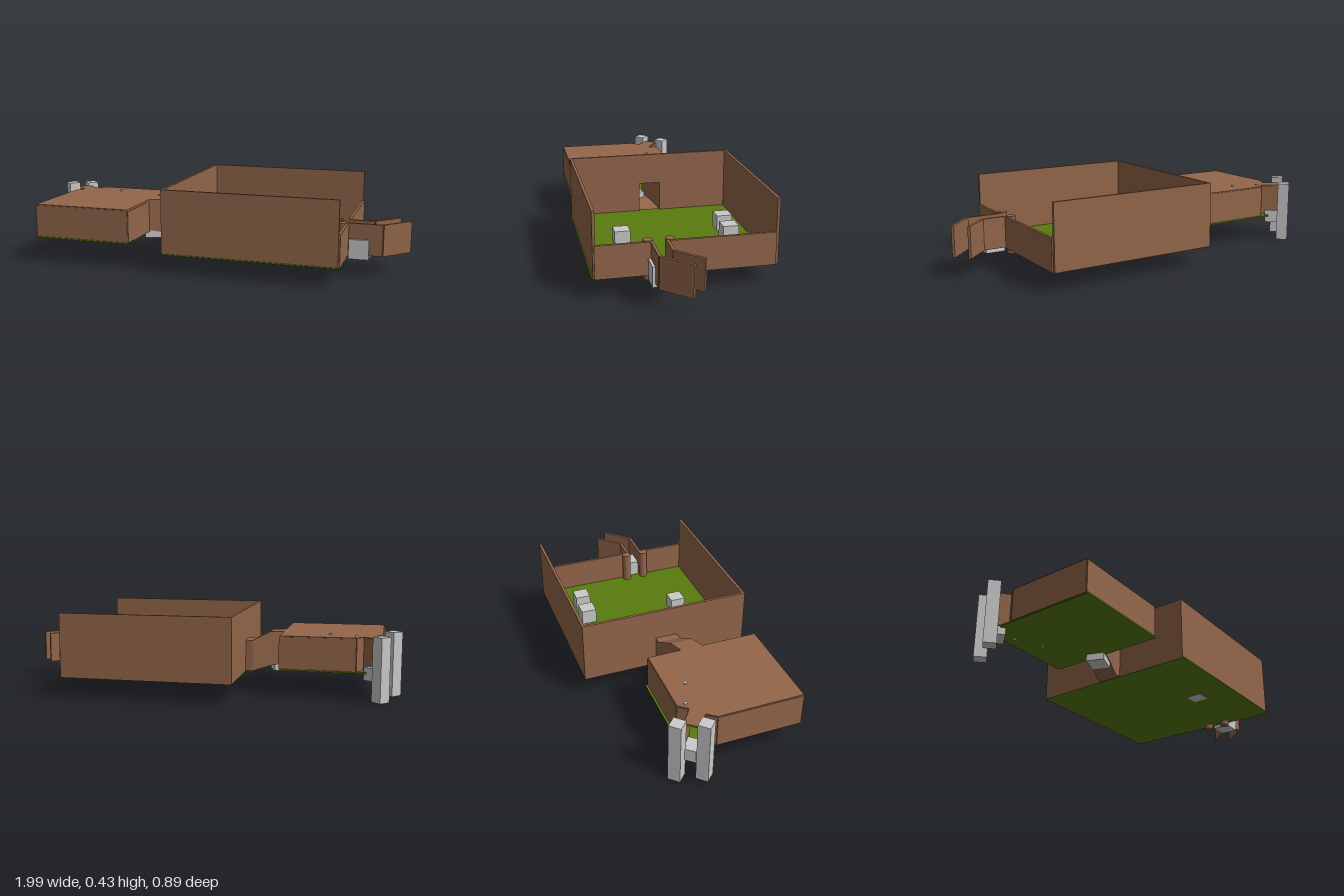
import * as THREE from 'three';

export function createModel() {
  const model = new THREE.Group();
  const mat = (name, color) => {
    const m = new THREE.MeshStandardMaterial({ color, side: THREE.DoubleSide });
    m.name = name;
    return m;
  };
  const brown = mat('brown wall', 0x93664a);
  const green = mat('green floor', 0x587b0d);
  const grey = mat('grey stone', 0xcacaca);

  const add = (name, geometry, material, parent = model) => {
    const mesh = new THREE.Mesh(geometry, material);
    mesh.name = name;
    parent.add(mesh);
    return mesh;
  };

  // Box standing from y0 to y1, centred on x, z and turned about y
  const block = (name, x, z, w, d, y0, y1, material, turn = 0) => {
    const mesh = add(name, new THREE.BoxGeometry(w, y1 - y0, d), material);
    mesh.position.set(x, (y0 + y1) / 2, z);
    mesh.rotation.y = turn;
    return mesh;
  };

  // Upright wall between two [x, z] points
  const wall = (name, [x0, z0], [x1, z1], y0, y1, t = 0.014) =>
    block(name, (x0 + x1) / 2, (z0 + z1) / 2, Math.hypot(x1 - x0, z1 - z0), t,
      y0, y1, brown, Math.atan2(z0 - z1, x1 - x0));

  // Flat slab with an [x, z] outline
  const slab = (name, points, y0, y1, material) => {
    const shape = new THREE.Shape(points.map(([x, z]) => new THREE.Vector2(x, -z)));
    const g = new THREE.ExtrudeGeometry(shape, { depth: y1 - y0, bevelEnabled: false });
    g.rotateX(-Math.PI / 2).translate(0, y0, 0);
    return add(name, g, material);
  };

  // Open main room
  slab('mainFloor', [[-0.195, -0.44], [0.69, -0.44], [0.69, 0.443], [-0.195, 0.443]], 0.1, 0.106, green);
  wall('frontWall', [-0.195, 0.43], [0.69, 0.43], 0.103, 0.43);
  wall('backWall', [-0.195, -0.441], [0.69, -0.441], 0.1, 0.43);
  wall('rightWallBack', [-0.188, -0.441], [-0.188, -0.06], 0.1, 0.43);
  wall('rightWallFront', [-0.188, 0.055], [-0.188, 0.43], 0.103, 0.43);
  wall('rightWallLintel', [-0.188, -0.06], [-0.188, 0.055], 0.265, 0.43);
  wall('lowWallBack', [0.69, -0.435], [0.69, 0.09], 0.1, 0.265);
  wall('lowWallFront', [0.69, 0.16], [0.69, 0.43], 0.1, 0.265);

  // Loose blocks in the room
  for (const [x, z, y] of [[0.27, -0.295, 0.142], [0.42, -0.285, 0.14], [0.27, 0.235, 0.097]])
    block('cube', x, z, 0.08, 0.08, y, y + 0.08, grey);

  // Entrance passage with round door posts and a step
  for (const path of [
    [[0.66, 0.088], [0.815, 0.088], [0.93, -0.027]],
    [[0.66, 0.163], [0.865, 0.163], [0.988, 0.037]],
  ]) {
    wall('passageWall', path[0], path[1], 0.105, 0.265);
    wall('passageWing', path[1], path[2], 0.105, 0.265);
  }
  for (const z of [0.073, 0.178]) {
    const post = add('doorPost', new THREE.CylinderGeometry(0.024, 0.024, 0.193, 16), brown);
    post.position.set(0.668, 0.1715, z);
  }
  block('entranceStep', 0.75, 0.135, 0.1, 0.095, 0.085, 0.185, grey);

  // Connecting corridor: sections of [x, back z, front z, bottom, top]
  const sections = [
    [-0.39, 0, 0.115, 0.14, 0.31],
    [-0.32, -0.027, 0.088, 0.128, 0.31],
    [-0.232, -0.06, 0.055, 0.102, 0.265],
    [-0.19, -0.06, 0.055, 0.102, 0.265],
  ];
  const pos = [];
  const corners = ([x, b, f, lo, hi]) => [[x, lo, f], [x, hi, f], [x, hi, b], [x, lo, b]];
  for (let i = 0; i < sections.length - 1; i++) {
    const a = corners(sections[i]), c = corners(sections[i + 1]);
    for (let j = 0; j < 4; j++) {
      const k = (j + 1) % 4;
      pos.push(...a[j], ...c[j], ...c[k], ...a[j], ...c[k], ...a[k]);
    }
  }
  const tube = new THREE.BufferGeometry();
  tube.setAttribute('position', new THREE.Float32BufferAttribute(pos, 3));
  tube.computeVertexNormals();
  add('corridor', tube, brown);
  block('corridorStep', -0.378, 0.058, 0.11, 0.09, 0.098, 0.165, grey, 0.37);

  // Roofed side room with a cut corner
  slab('sideFloor', [[-0.905, 0.415], [-0.39, 0.415], [-0.39, -0.19], [-0.82, -0.19], [-0.905, -0.1]],
    0.133, 0.14, green);
  const outline = [
    [-0.895, -0.19], [-0.81, -0.13], [-0.775, -0.175], [-0.39, -0.175], [-0.39, 0.405],
    [-0.905, 0.405], [-0.905, -0.03], [-0.87, -0.075], [-0.94, -0.135],
  ];
  slab('sideRoof', outline, 0.3, 0.31, brown);
  for (let i = 0; i < outline.length - 1; i++) {
    if (i === 3) {
      // Side wall left open where the corridor joins
      wall('sideWall', outline[3], [-0.394, 0], 0.138, 0.3, 0.008);
      wall('sideWall', [-0.394, 0.115], outline[4], 0.138, 0.3, 0.008);
    } else wall('sideWall', outline[i], outline[i + 1], 0.138, 0.305, 0.008);
  }

  // Corner doorway: two tall pillars and a step
  block('pillar', -0.956, -0.108, 0.062, 0.062, 0.015, 0.34, grey, 0.8);
  block('pillar', -0.9, -0.224, 0.062, 0.062, 0, 0.326, grey, 0.8);
  block('cornerStep', -0.878, -0.158, 0.085, 0.1, 0.098, 0.165, grey, -0.7);

  // Pins through the side room
  for (const [x, z] of [[-0.64, -0.08], [-0.775, -0.135]]) {
    const pin = add('pin', new THREE.CylinderGeometry(0.009, 0.009, 0.19, 12), grey);
    pin.position.set(x, 0.223, z);
  }

  return model;
}
